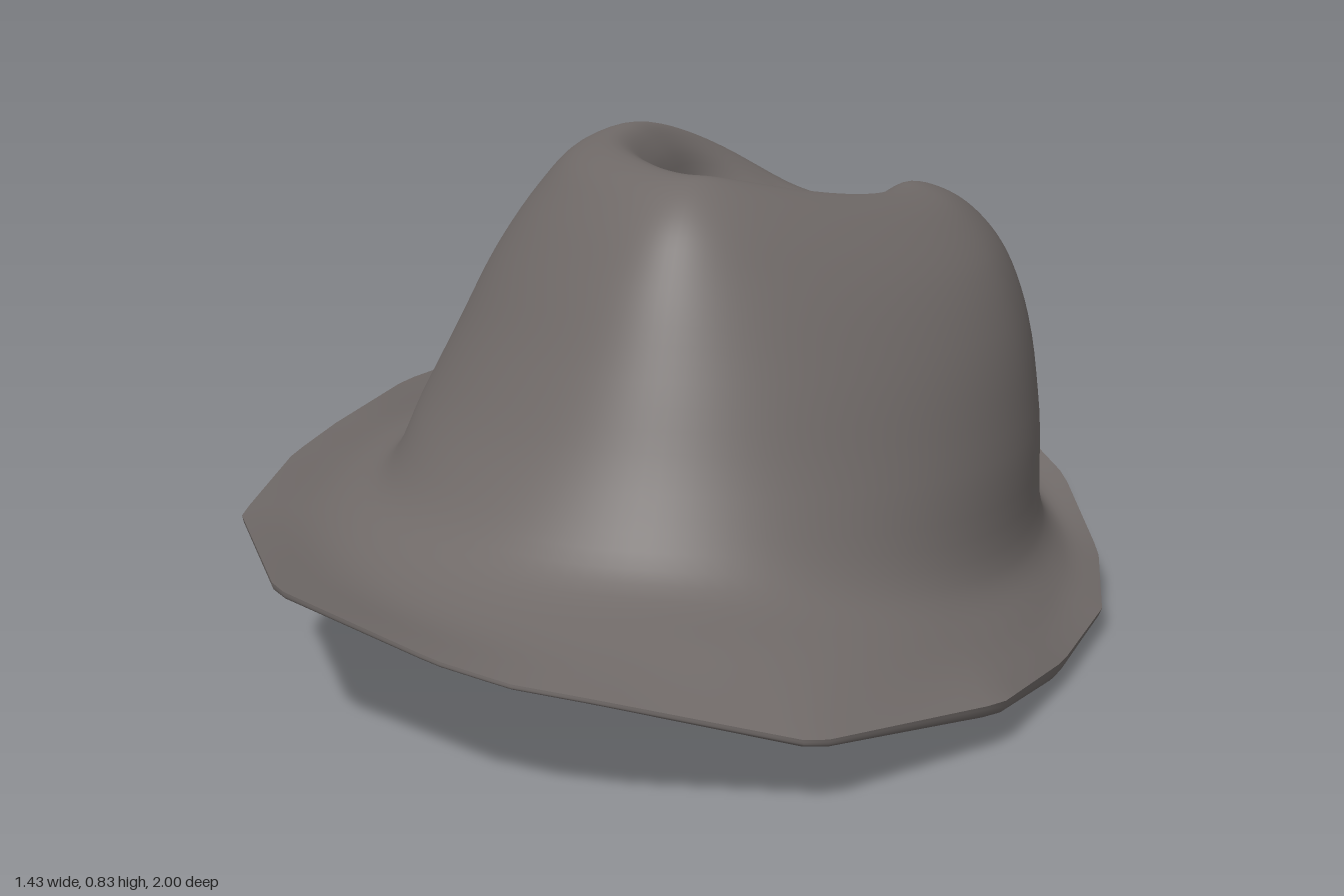
import * as THREE from 'three';

const SEG = 120;

// Brim corners from the front round over the left side: x, y, z
const BRIM = [
  [-0.04, 0.205, 1], [0.08, 0.19, 0.99], [0.39, 0.115, 0.89], [0.62, 0.08, 0.58],
  [0.68, 0.045, 0.28], [0.715, 0.045, 0], [0.68, 0.06, -0.27], [0.58, 0.12, -0.56],
  [0.48, 0.16, -0.71], [0.32, 0.2, -0.87], [0.22, 0.215, -0.92], [-0.04, 0.245, -1],
  [-0.27, 0.3, -0.92], [-0.38, 0.31, -0.85], [-0.6, 0.305, -0.56], [-0.69, 0.3, -0.28],
  [-0.72, 0.285, 0], [-0.72, 0.28, 0.2], [-0.67, 0.27, 0.53], [-0.47, 0.265, 0.85], [-0.16, 0.225, 0.985],
].map(p => new THREE.Vector3(...p));

// Brim edge resampled to SEG points by angle
function brimRing() {
  const turn = 2 * Math.PI;
  const angles = BRIM.map((p, i) => {
    const a = Math.atan2(p.x / 0.72, p.z);
    return i > 0 && a < 0 ? a + turn : a;
  });
  angles.push(angles[0] + turn);
  const pts = [...BRIM, BRIM[0]];
  return Array.from({ length: SEG }, (_, j) => {
    let t = (j / SEG) * turn;
    if (t > angles[pts.length - 1]) t -= turn;
    let k = 0;
    while (k < pts.length - 2 && angles[k + 1] < t) k++;
    return pts[k].clone().lerp(pts[k + 1], (t - angles[k]) / (angles[k + 1] - angles[k]));
  });
}

// Egg-shaped ring: x right/left, z back/front, z of widest point, heights at those four sides,
// and a pinch that narrows the front, squares the back and tips the back down to the left
function ring([xr, xl, zb, zf, cz, yr, yl, yb, yf, pinch = 0]) {
  const cx = (xr + xl) / 2, half = (xl - xr) / 2;
  return Array.from({ length: SEG }, (_, j) => {
    const t = (j / SEG) * 2 * Math.PI, s = Math.sin(t), c = Math.cos(t);
    const narrow = c > 0 ? 1 - pinch * c * c : 1;
    const full = c > 0 ? 1 : 1 + pinch * s * s * c * c;
    const tip = c > 0 ? 0 : 0.2 * pinch * s * c * c;
    const y = s * s * (s > 0 ? yl : yr) + c * c * (c > 0 ? yf : yb) - tip;
    return new THREE.Vector3(cx + half * s * narrow * full, y, cz + c * full * (c > 0 ? zf - cz : cz - zb));
  });
}

// Smooth skin through rings, closed around
function skin(rings, steps) {
  const n = steps + 1, pos = new Float32Array(n * SEG * 3), index = [];
  for (let j = 0; j < SEG; j++) {
    const curve = new THREE.CatmullRomCurve3(rings.map(r => r[j]));
    for (let i = 0; i < n; i++) curve.getPoint(i / steps).toArray(pos, (i * SEG + j) * 3);
  }
  for (let i = 0; i < steps; i++) {
    for (let j = 0; j < SEG; j++) {
      const a = i * SEG + j, b = i * SEG + (j + 1) % SEG;
      index.push(a, b, a + SEG, b, b + SEG, a + SEG);
    }
  }
  const g = new THREE.BufferGeometry();
  g.setAttribute('position', new THREE.BufferAttribute(pos, 3));
  g.setIndex(index);
  g.computeVertexNormals();
  return g;
}

export function createModel() {
  const hat = new THREE.Group();
  hat.name = 'hat';
  const felt = new THREE.MeshStandardMaterial({ color: 0x706a68 });
  felt.name = 'grey felt';
  const add = (name, rings, steps) => {
    const m = new THREE.Mesh(skin(rings, steps), felt);
    m.name = name;
    hat.add(m);
  };

  // Brim edge: thin at the front, deeper and rolled at the back
  const edge = brimRing();
  const lower = edge.map(p => {
    const inset = 0.94 + 0.03 * p.z;
    return new THREE.Vector3(p.x * inset, Math.max(0, p.y - 0.062 + 0.047 * p.z), p.z * inset);
  });
  const middle = edge.map((p, j) => p.clone().lerp(lower[j], 0.5).multiply(new THREE.Vector3(1.015, 1, 1.015)));
  const opening = ring([-0.52, 0.53, -0.78, 0.64, -0.1, 0.23, 0.07, 0.17, 0.21]);

  // Crown wall, rim and teardrop dent
  const crown = [
    [-0.535, 0.575, -0.8, 0.61, -0.1, 0.38, 0.33, 0.33, 0.38, 0.08],
    [-0.48, 0.545, -0.765, 0.53, -0.12, 0.5, 0.5, 0.48, 0.54, 0.2],
    [-0.42, 0.495, -0.74, 0.46, -0.15, 0.63, 0.62, 0.55, 0.68, 0.29],
    [-0.35, 0.435, -0.71, 0.4, -0.18, 0.74, 0.69, 0.605, 0.77, 0.36],
    [-0.285, 0.375, -0.67, 0.33, -0.2, 0.81, 0.73, 0.64, 0.82, 0.4],
    [-0.21, 0.31, -0.61, 0.26, -0.22, 0.83, 0.745, 0.65, 0.83, 0.42],
    [-0.155, 0.25, -0.55, 0.18, -0.26, 0.78, 0.71, 0.64, 0.78, 0.43],
    [-0.11, 0.19, -0.48, 0.08, -0.3, 0.69, 0.67, 0.625, 0.7, 0.38],
    [-0.03, 0.11, -0.39, -0.16, -0.3, 0.63, 0.635, 0.615, 0.64, 0.2],
    [0.038, 0.042, -0.302, -0.298, -0.3, 0.62, 0.62, 0.62, 0.62],
  ].map(ring);

  add('crownAndBrim', [
    edge,
    ring([-0.63, 0.64, -0.91, 0.84, -0.02, 0.26, 0.085, 0.185, 0.22, -0.1]),
    ring([-0.57, 0.59, -0.84, 0.7, -0.08, 0.285, 0.15, 0.21, 0.265, -0.07]),
    ...crown,
  ], 60);

  add('brimEdge', [lower, middle, edge], 6);
  add('brimUnderside', [opening, lower], 6);

  // Hollow inside, following the crown just beneath its surface
  const inner = crown.map(r => r.map(p => new THREE.Vector3(p.x * 0.965, p.y - 0.02, (p.z + 0.1) * 0.975 - 0.1)));
  add('lining', [...inner.reverse(), opening], 50);

  return hat;
}
